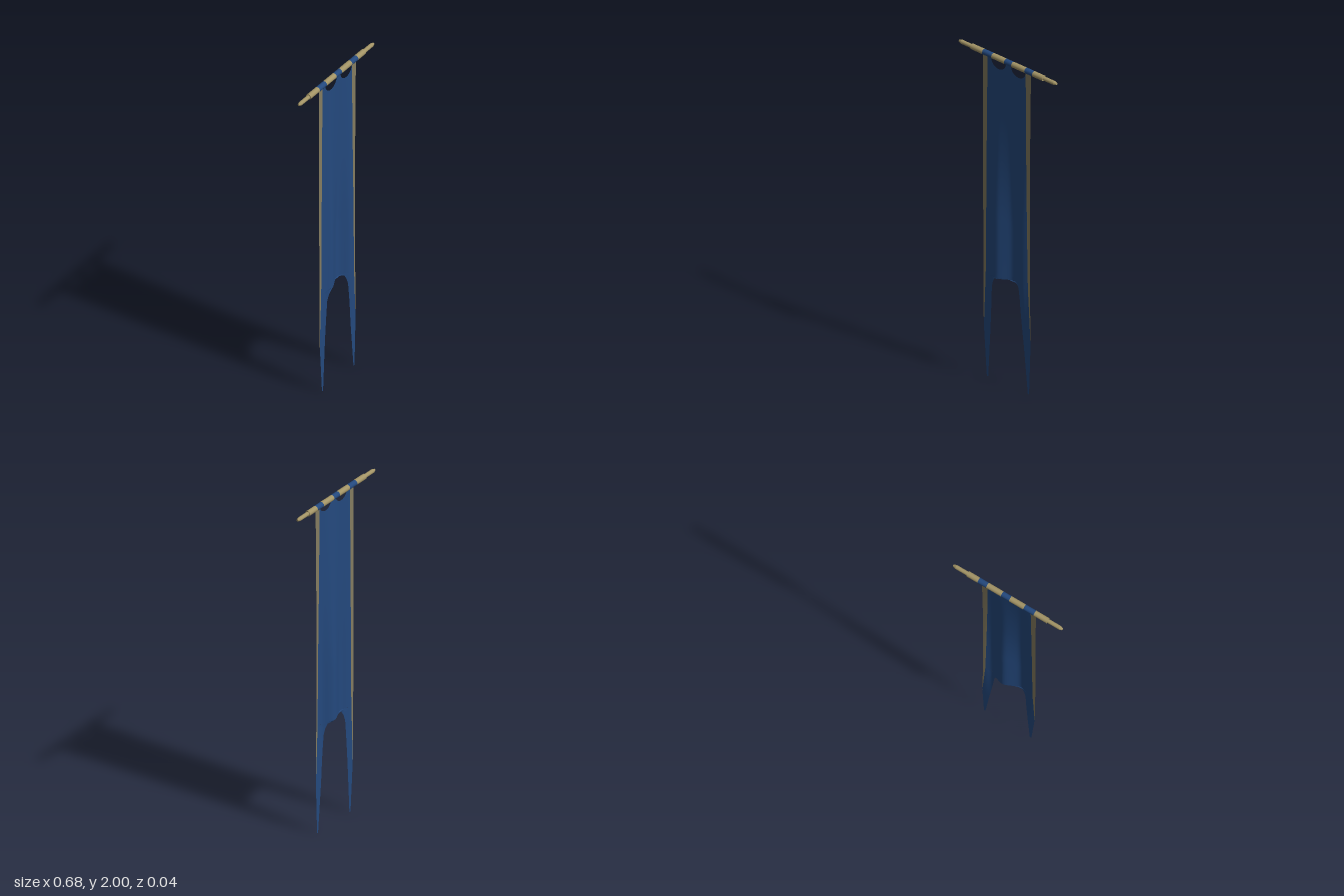
import * as THREE from 'three';

const blue = new THREE.MeshStandardMaterial({ color: 0x24497e, side: THREE.DoubleSide });
blue.name = 'blue cloth';
const gold = new THREE.MeshStandardMaterial({ color: 0x857c60, side: THREE.DoubleSide });
gold.name = 'dull gold trim';
const wood = new THREE.MeshStandardMaterial({ color: 0xa39466 });
wood.name = 'pale wood';

// Piecewise linear lookup through [y, x] points listed from low to high y
function along(points) {
  return (y) => {
    for (let i = 1; i < points.length; i++) {
      const [y0, x0] = points[i - 1], [y1, x1] = points[i];
      if (y <= y1) return x0 + (x1 - x0) * Math.max(0, (y - y0) / (y1 - y0));
    }
    return points[points.length - 1][1];
  };
}

// Soft folds that are strongest in the lower half of the cloth
const foldDepth = along([[0, 0], [0.3, 0.1], [0.64, 1], [1.0, 0.95], [1.4, 0.45], [1.95, 0]]);
const bump = (x, centre, width) => Math.exp(-(((x - centre) / width) ** 2));
function foldZ(x, y) {
  const f = 1.1 * bump(x, -0.07, 0.035) - 1.8 * bump(x, 0.03, 0.045) + 0.8 * bump(x, 0.11, 0.03);
  return 0.005 + 0.013 * foldDepth(y) * f;
}

// Cloth surface between two side edges, sampled at the given heights
function clothStrip(name, material, heights, left, right, columns) {
  const positions = [], index = [];
  heights.forEach((y, r) => {
    for (let c = 0; c <= columns; c++) {
      const x = THREE.MathUtils.lerp(left(y), right(y), c / columns);
      positions.push(x, y, foldZ(x, y));
      if (r && c) {
        const d = r * (columns + 1) + c, b = d - columns - 1;
        index.push(b - 1, b, d, b - 1, d, d - 1);
      }
    }
  });
  const geometry = new THREE.BufferGeometry();
  geometry.setAttribute('position', new THREE.Float32BufferAttribute(positions, 3));
  geometry.setIndex(index);
  geometry.computeVertexNormals();
  const mesh = new THREE.Mesh(geometry, material);
  mesh.name = name;
  return mesh;
}

const span = (a, b, n) => Array.from({ length: n + 1 }, (_, i) => a + ((b - a) * i) / n);

// Lathe piece lying along x
function poleRing(name, material, profile) {
  const geometry = new THREE.LatheGeometry(profile.map(([r, x]) => new THREE.Vector2(r, x)), 20);
  geometry.rotateZ(-Math.PI / 2);
  const mesh = new THREE.Mesh(geometry, material);
  mesh.name = name;
  return mesh;
}

export function createModel() {
  const banner = new THREE.Group();
  banner.name = 'hanging banner';

  // Crossbar with banded middle and slimmer tapered ends
  const pole = new THREE.Group();
  pole.name = 'crossbar';
  pole.position.set(0, 1.984, -0.004);
  const R = 0.016;
  const cuts = [-0.25, -0.168, -0.104, -0.015, 0.035, 0.127, 0.181, 0.25];
  for (let i = 0; i < cuts.length - 1; i++) {
    const loop = i % 2 === 1;
    pole.add(poleRing(loop ? 'clothLoop' : 'crossbarSection', loop ? blue : wood,
      [[R, cuts[i]], [R, cuts[i + 1]]]));
  }
  for (const side of [1, -1]) {
    const end = poleRing('crossbarEnd', wood,
      [[R, 0.25], [0.0115, 0.25], [0.0115, 0.25], [0.0115, 0.323], [0.0115, 0.323], [0.006, 0.34], [0.006, 0.34], [0, 0.34]]);
    if (side < 0) end.rotation.y = Math.PI;
    pole.add(end);
  }
  banner.add(pole);

  // Outer edges, borders of the trim and inner edges of the tails
  const outerR = along([[0, -0.14], [0.3, -0.161], [0.65, -0.164], [1.4, -0.166], [1.975, -0.168]]);
  const outerL = along([[0, 0.155], [0.3, 0.166], [0.65, 0.161], [1.4, 0.161], [1.975, 0.168]]);
  const trimR = along([[0, -0.14], [0.3, -0.16], [0.65, -0.147], [1.4, -0.141], [1.975, -0.135]]);
  const trimL = along([[0, 0.155], [0.3, 0.165], [0.65, 0.148], [1.4, 0.137], [1.975, 0.131]]);
  const innerR = along([[0, -0.13], [0.57, -0.1], [0.605, -0.09], [0.63, -0.076], [0.636, -0.045], [0.64, 0]]);
  const innerL = along([[0, 0.146], [0.57, 0.092], [0.605, 0.083], [0.63, 0.072], [0.636, 0.045], [0.64, 0]]);

  // Main cloth and the two pointed tails
  banner.add(clothStrip('clothBody', blue, span(0.64, 1.924, 40), trimR, trimL, 28));
  const tailHeights = [...span(0, 0.57, 16), 0.59, 0.605, 0.618, 0.63, 0.636, 0.64];
  banner.add(clothStrip('rightTail', blue, tailHeights, trimR, innerR, 10));
  banner.add(clothStrip('leftTail', blue, tailHeights, innerL, trimL, 10));

  // Gold borders along both sides
  const trimHeights = span(0.3, 1.978, 50);
  banner.add(clothStrip('rightTrim', gold, trimHeights, outerR, trimR, 3));
  banner.add(clothStrip('leftTrim', gold, trimHeights, trimL, outerL, 3));

  // Hanging tabs, shaped by two rounded scallops
  const scallop = (centre, side) => (y) => {
    const t = Math.min(1, Math.max(0, (1.976 - y) / 0.052));
    return centre + side * 0.051 * Math.sqrt(1 - t * t);
  };
  const tabHeights = span(0, 1, 12).map((t) => 1.924 + 0.06 * t * t);
  const holeR = -0.058, holeL = 0.08;
  banner.add(clothStrip('rightTab', blue, tabHeights, trimR, scallop(holeR, -1), 4));
  banner.add(clothStrip('middleTab', blue, tabHeights, scallop(holeR, 1), scallop(holeL, -1), 6));
  banner.add(clothStrip('leftTab', blue, tabHeights, scallop(holeL, 1), trimL, 4));

  return banner;
}
